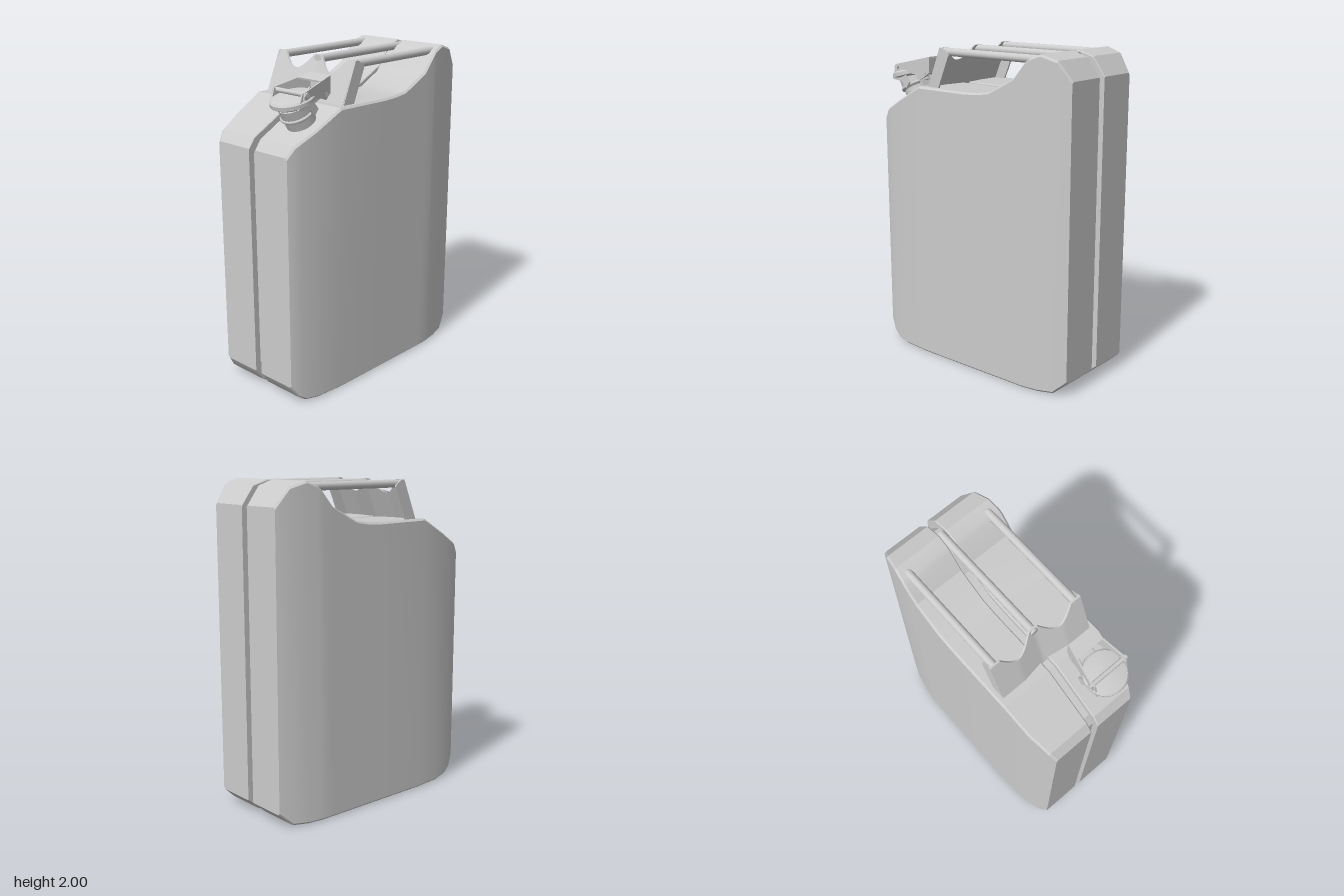
import * as THREE from 'three';
import { toCreasedNormals } from 'three/addons/utils/BufferGeometryUtils.js';

const material = new THREE.MeshStandardMaterial({ color: 0xcccccc, side: THREE.DoubleSide });

// Can silhouette: top edge, bottom edge, and bulge of the broad faces, all over x
const TOP = [[-0.735, 1.52], [-0.69, 1.58], [-0.37, 1.75], [0, 1.747], [0.1, 1.752], [0.19, 1.765],
  [0.37, 1.855], [0.45, 1.95], [0.48, 1.975], [0.55, 2], [0.65, 1.97], [0.732, 1.86]];
const BOTTOM = [[-0.735, 0.12], [-0.69, 0.05], [-0.64, 0.015], [-0.55, 0.005], [0.55, 0.005], [0.65, 0.015], [0.732, 0.09]];
const BULGE = [[-0.735, 0.285], [-0.69, 0.305], [-0.55, 0.335], [-0.37, 0.35], [0.45, 0.35], [0.55, 0.335], [0.65, 0.315], [0.732, 0.285]];

function sample(table, x) {
  for (let i = 1; i < table.length; i++) {
    const [x0, y0] = table[i - 1], [x1, y1] = table[i];
    if (x <= x1) return y0 + (y1 - y0) * (x - x0) / (x1 - x0);
  }
  return table[table.length - 1][1];
}
const stations = [...new Set([...TOP, ...BOTTOM, ...BULGE].map(p => p[0]))].sort((a, b) => a - b);

function add(parent, name, geometry, x = 0, y = 0, z = 0, rz = 0) {
  const mesh = new THREE.Mesh(geometry, material);
  mesh.name = name;
  mesh.position.set(x, y, z);
  mesh.rotation.z = rz;
  parent.add(mesh);
  return mesh;
}

// Skin a series of [x, ring of (z, y)] sections and close both ends
function loft(sections, flip) {
  const pos = [], idx = [], n = sections[0].ring.length;
  const tri = (a, b, c) => idx.push(a, flip ? c : b, flip ? b : c);
  sections.forEach(({ x, ring }) => ring.forEach(([z, y]) => pos.push(x, y, z)));
  const last = (sections.length - 1) * n;
  for (let i = 0; i < last; i += n) {
    for (let j = 0; j < n; j++) {
      const k = (j + 1) % n;
      tri(i + j, i + n + j, i + n + k);
      tri(i + j, i + n + k, i + k);
    }
  }
  for (let k = 1; k < n - 1; k++) {
    tri(0, k, k + 1);
    tri(last, last + k + 1, last + k);
  }
  const g = new THREE.BufferGeometry();
  g.setAttribute('position', new THREE.Float32BufferAttribute(pos, 3));
  g.setIndex(idx);
  return toCreasedNormals(g, 0.4);
}

// One pressed half of the can, side +1 front or -1 back
function shellHalf(side) {
  const b = 0.012, inner = 0.024;
  return loft(stations.map(x => {
    const y0 = sample(BOTTOM, x), y1 = sample(TOP, x), z = sample(BULGE, x);
    const ring = [[inner, y0 + b / 2], [inner + b / 2, y0], [z - b, y0], [z, y0 + b], [z, y1 - b], [z - b, y1], [inner + b / 2, y1], [inner, y1 - b / 2]];
    return { x, ring: ring.map(p => [p[0] * side, p[1]]) };
  }), side < 0);
}

// Recessed seam between the halves
function seam() {
  return loft(stations.map(x => {
    const y0 = sample(BOTTOM, x) + 0.05, y1 = sample(TOP, x) - 0.035;
    return { x: x * 0.95, ring: [[-0.03, y0], [0.03, y0], [0.03, y1], [-0.03, y1]] };
  }), false);
}

function extrude(points, depth) {
  const shape = new THREE.Shape(points.map(p => new THREE.Vector2(p[0], p[1])));
  const g = new THREE.ExtrudeGeometry(shape, { depth, bevelEnabled: false });
  return g.translate(0, 0, -depth / 2);
}

function moveVertices(g, rule) {
  const p = g.attributes.position, v = new THREE.Vector3();
  for (let i = 0; i < p.count; i++) {
    rule(v.fromBufferAttribute(p, i));
    p.setXYZ(i, v.x, v.y, v.z);
  }
  return toCreasedNormals(g, 0.5);
}

function rod(r, length, axis) {
  const g = new THREE.CylinderGeometry(r, r, length, 16);
  return axis === 'x' ? g.rotateZ(Math.PI / 2) : g.rotateX(Math.PI / 2);
}

function createHandle() {
  const handle = new THREE.Group();
  handle.name = 'handle';
  const spread = 0.283;
  for (const z of [-spread, 0, spread]) {
    const end = z === 0 ? 0.57 : 0.5;
    add(handle, 'handleBar', rod(0.024, end + 0.21, 'x'), (end - 0.21) / 2, 1.966, z);
    if (z !== 0) add(handle, 'barEnd', new THREE.SphereGeometry(0.024, 16, 10), end, 1.966, z);
  }
  // Leaning plate, scalloped between the bars and bowed at the seam
  const plate = moveVertices(new THREE.BoxGeometry(0.012, 1, 0.62, 1, 1, 40), v => {
    const d = Math.abs(v.z);
    const notch = d > 0.03 && d < 0.25 ? Math.sin(Math.PI * (d - 0.03) / 0.22) : 0;
    v.y = v.y > 0 ? 1.99 - 0.085 * notch : 1.735;
    v.x += -0.318 + 0.43 * (v.y - 1.745) + 0.025 * Math.max(0, 1 - d / 0.16);
  });
  add(handle, 'handlePlate', plate);
  const flange = [[-0.325, 1.735], [-0.24, 1.735], [-0.15, 1.945], [-0.155, 1.96], [-0.2, 1.99], [-0.22, 1.99]];
  for (const s of [-1, 1]) add(handle, 'plateFlange', extrude(flange, 0.012), 0, 0, s * 0.31);
  return handle;
}

function createSpout() {
  const spout = new THREE.Group();
  spout.name = 'spout';
  spout.position.z = 0.18;
  const tilt = 0.48, capTilt = 0.25;

  // Neck standing square to the sloping shoulder
  const neck = [[0.088, -0.06], [0.088, 0.05], [0.094, 0.06], [0.094, 0.13], [0, 0.13]].map(p => new THREE.Vector2(...p));
  add(spout, 'neck', toCreasedNormals(new THREE.LatheGeometry(neck, 32), 0.5), -0.52, 1.67, 0, tilt);

  // Shallow domed cap
  const cap = [[0, -0.025], [0.115, -0.025], [0.13, -0.015], [0.13, 0.008], [0.12, 0.018], [0.07, 0.026], [0, 0.03]].map(p => new THREE.Vector2(...p));
  add(spout, 'cap', toCreasedNormals(new THREE.LatheGeometry(cap, 36), 0.5), -0.585, 1.808, 0, capTilt);

  // Lever with two converging arms, a top web and an end web
  const arm = [[-0.62, 1.825], [-0.61, 1.865], [-0.59, 1.87], [-0.365, 1.922], [-0.365, 1.825], [-0.41, 1.79], [-0.46, 1.81], [-0.54, 1.815]];
  for (const s of [-1, 1]) {
    const g = moveVertices(extrude(arm, 0.01), v => {
      v.z += s * THREE.MathUtils.mapLinear(v.x, -0.62, -0.365, 0.124, 0.074);
    });
    add(spout, 'leverArm', g);
    // Ears that carry the cross pin down to the neck
    add(spout, 'pinEar', extrude([[-0.65, 1.77], [-0.62, 1.86], [-0.58, 1.86], [-0.5, 1.76], [-0.53, 1.72], [-0.56, 1.76]], 0.01), 0, 0, s * 0.112);
    add(spout, 'claspLink', extrude([[-0.54, 1.75], [-0.52, 1.70], [-0.49, 1.72], [-0.47, 1.775], [-0.39, 1.81], [-0.4, 1.845], [-0.48, 1.81]], 0.012), 0, 0, s * 0.05);
  }
  const web = moveVertices(new THREE.BoxGeometry(0.09, 0.01, 1), v => {
    v.z *= v.x > 0 ? 0.15 : 0.185;
  });
  add(spout, 'leverTop', web, -0.409, 1.907, 0, 0.227);
  add(spout, 'leverEnd', new THREE.BoxGeometry(0.01, 0.095, 0.15), -0.37, 1.872, 0);
  add(spout, 'crossPin', rod(0.014, 0.27, 'z'), -0.598, 1.85, 0);
  add(spout, 'leverPin', rod(0.014, 0.18, 'z'), -0.405, 1.82, 0);
  add(spout, 'neckLug', new THREE.BoxGeometry(0.05, 0.06, 0.1), -0.475, 1.745, 0, tilt);
  add(spout, 'neckBand', new THREE.TorusGeometry(0.094, 0.01, 8, 32).rotateX(Math.PI / 2), -0.55, 1.728, 0, tilt);
  return spout;
}

export function createModel() {
  const can = new THREE.Group();
  can.name = 'fuelCan';
  add(can, 'frontShell', shellHalf(1));
  add(can, 'backShell', shellHalf(-1));
  add(can, 'seam', seam());
  can.add(createHandle(), createSpout());
  return can;
}
